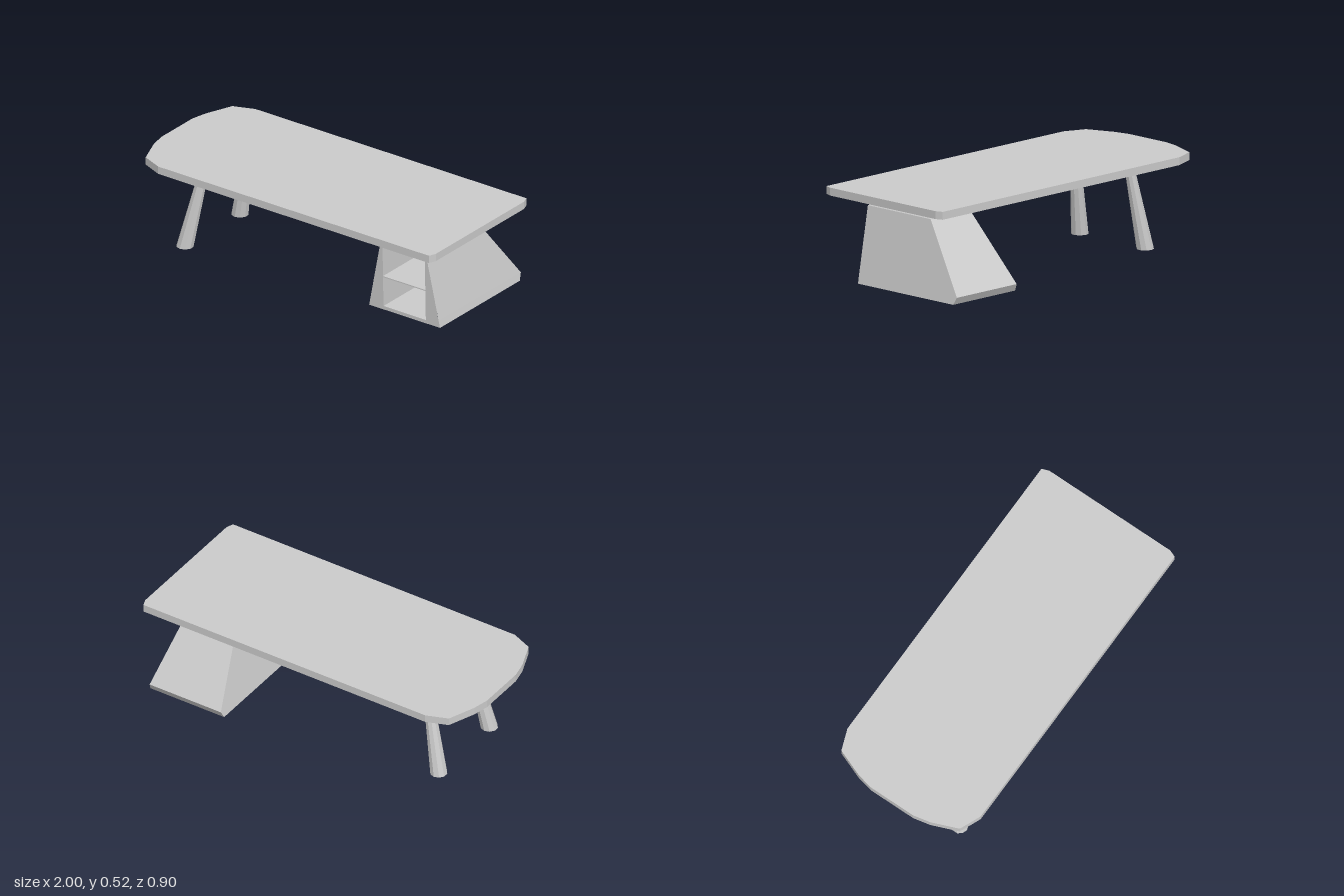
import * as THREE from 'three';

const material = new THREE.MeshStandardMaterial({ color: 0xcccccc, flatShading: true });

function addMesh(parent, name, geometry) {
  const mesh = new THREE.Mesh(geometry, material);
  mesh.name = name;
  parent.add(mesh);
  return mesh;
}

// Flat quads, corners counter-clockwise seen from the visible side
function quadGeometry(quads) {
  const pos = [];
  for (const [a, b, c, d] of quads) for (const p of [a, b, c, a, c, d]) pos.push(...p);
  const g = new THREE.BufferGeometry();
  g.setAttribute('position', new THREE.Float32BufferAttribute(pos, 3));
  g.computeVertexNormals();
  return g;
}

// Tapered leg sheared between two centres, with level ends
function slantedLeg(bottom, top, rBottom, rTop, sides) {
  const h = top[1] - bottom[1];
  const g = new THREE.CylinderGeometry(rTop, rBottom, h, sides);
  const p = g.attributes.position;
  for (let i = 0; i < p.count; i++) {
    const t = p.getY(i) / h + 0.5;
    p.setXYZ(i,
      p.getX(i) + THREE.MathUtils.lerp(bottom[0], top[0], t),
      p.getY(i) + h / 2 + bottom[1],
      p.getZ(i) + THREE.MathUtils.lerp(bottom[2], top[2], t));
  }
  g.computeVertexNormals();
  return g;
}

// z of the slightly leaning cabinet front at height y
const frontZ = (y) => 0.275 + (y - 0.01) * 0.0244;

function cabinetShell() {
  // Cross-sections: y, xMin, xMax, zBack, zFront
  const rings = [
    [0.01, 0.46, 0.927, -0.43, frontZ(0.01)],
    [0.05, 0.468, 0.919, -0.45, frontZ(0.05)],
    [0.42, 0.545, 0.842, -0.18, frontZ(0.42)],
    [0.437, 0.562, 0.825, -0.15, 0.255],
  ].map(([y, x0, x1, z0, z1]) => [[x0, y, z1], [x1, y, z1], [x1, y, z0], [x0, y, z0]]);
  const quads = [[...rings[0]].reverse(), rings[3]];
  for (let r = 0; r < 3; r++) {
    for (let k = 0; k < 4; k++) {
      if (k === 0 && r < 2) continue; // front is a separate pierced panel
      const n = (k + 1) % 4;
      quads.push([rings[r][k], rings[r][n], rings[r + 1][n], rings[r + 1][k]]);
    }
  }
  return quadGeometry(quads);
}

function cabinetFront(openings, x0, x1) {
  const shape = new THREE.Shape([[0.46, 0.01], [0.927, 0.01], [0.842, 0.42], [0.545, 0.42]]
    .map(([x, y]) => new THREE.Vector2(x, y)));
  for (const [y0, y1] of openings) {
    shape.holes.push(new THREE.Path([[x0, y0], [x0, y1], [x1, y1], [x1, y0]]
      .map(([x, y]) => new THREE.Vector2(x, y))));
  }
  const g = new THREE.ShapeGeometry(shape);
  const p = g.attributes.position;
  for (let i = 0; i < p.count; i++) p.setZ(i, frontZ(p.getY(i)));
  g.computeVertexNormals();
  return g;
}

// Inward-facing compartment, open at the front
function compartment(y0, y1, x0, x1, zBack) {
  const f = [[x0, y0], [x1, y0], [x1, y1], [x0, y1]].map(([x, y]) => [x, y, frontZ(y)]);
  const b = f.map(([x, y]) => [x, y, zBack]);
  const quads = [b];
  for (let k = 0; k < 4; k++) {
    const n = (k + 1) % 4;
    quads.push([f[k], f[n], b[n], b[k]]);
  }
  return quadGeometry(quads);
}

export function createModel() {
  const desk = new THREE.Group();
  desk.name = 'desk';

  // Table top: rounded at one end, clipped corners at the other
  const outline = [
    [-0.8, 0.45], [0.985, 0.45], [1, 0.41], [1, -0.37], [0.985, -0.41], [-0.8, -0.41],
    [-0.92, -0.365], [-0.98, -0.21], [-1, -0.12], [-1, 0.155], [-0.98, 0.25], [-0.92, 0.4],
  ].map(([x, z]) => new THREE.Vector2(x, -z));
  const top = new THREE.ExtrudeGeometry(new THREE.Shape(outline), { depth: 0.043, bevelEnabled: false });
  top.rotateX(-Math.PI / 2);
  top.translate(0, 0.478, 0);
  addMesh(desk, 'tableTop', top);

  // Splayed legs under the rounded end
  addMesh(desk, 'frontLeg', slantedLeg([-0.75, 0.003, 0.28], [-0.657, 0.48, 0.225], 0.047, 0.026, 10));
  addMesh(desk, 'backLeg', slantedLeg([-0.75, 0, -0.205], [-0.657, 0.48, -0.172], 0.047, 0.026, 10));

  // Cabinet with two open compartments
  const cabinet = new THREE.Group();
  cabinet.name = 'cabinet';
  desk.add(cabinet);
  const openings = [[0.03, 0.202], [0.208, 0.38]];
  addMesh(cabinet, 'cabinetShell', cabinetShell());
  addMesh(cabinet, 'cabinetFront', cabinetFront(openings, 0.555, 0.834));
  for (const [y0, y1] of openings) {
    addMesh(cabinet, 'compartment', compartment(y0, y1, 0.555, 0.834, 0.0));
  }

  // Short posts between cabinet and table top
  for (const x of [0.612, 0.782]) {
    for (const z of [0.19, -0.086]) {
      addMesh(cabinet, 'post', new THREE.CylinderGeometry(0.024, 0.024, 0.05, 10)).position.set(x, 0.457, z);
    }
  }
  return desk;
}
